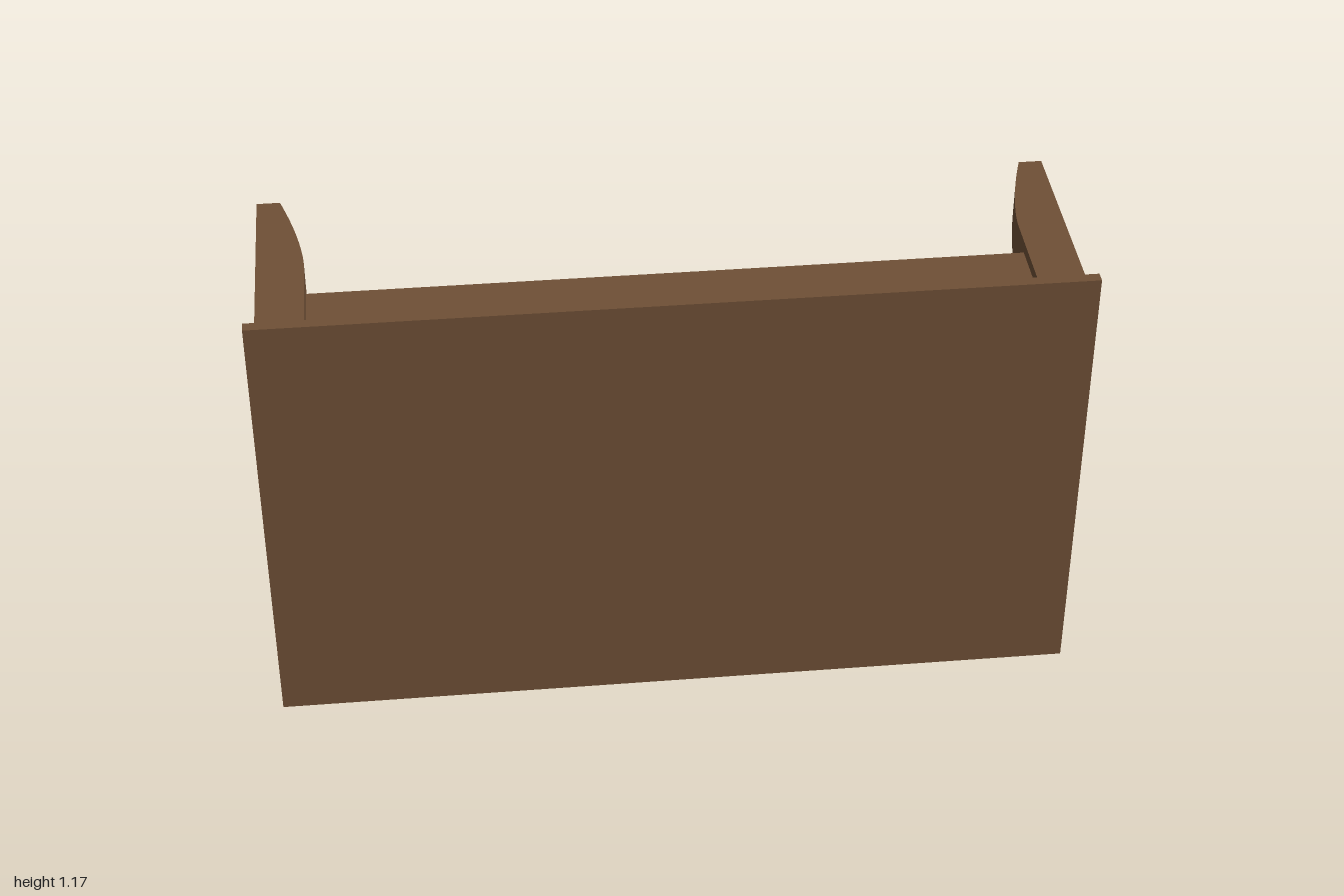
import * as THREE from 'three';

// A low table tipped on its side: the top faces +z, the legs point to -z.
const WIDTH = 2, HEIGHT = 1.17, MID = HEIGHT / 2;
const FRONT = 0.283, UNDERSIDE = 0.255, FEET = -0.283;
const APRON_BACK = 0.087;

// Leg thickness along z: straight near the top, curving in towards the foot.
const LEG = 0.115, FOOT = 0.057, TAPER_START = 0.0;
function legSize(z) {
  const t = Math.max(0, (TAPER_START - z) / (TAPER_START - FEET));
  return LEG - (LEG - FOOT) * Math.pow(t, 1.55);
}

export function createModel() {
  const model = new THREE.Group();
  model.name = 'table';
  const wood = new THREE.MeshStandardMaterial({ color: 0x6f5036 });
  wood.name = 'brown wood';

  const add = (name, geometry) => {
    const mesh = new THREE.Mesh(geometry, wood);
    mesh.name = name;
    model.add(mesh);
    return mesh;
  };
  // Box given by its limits on each axis
  const slab = (name, [x0, x1], [y0, y1], [z0, z1]) =>
    add(name, new THREE.BoxGeometry(x1 - x0, y1 - y0, z1 - z0))
      .position.set((x0 + x1) / 2, (y0 + y1) / 2, (z0 + z1) / 2);

  slab('tableTop', [-WIDTH / 2, WIDTH / 2], [0, HEIGHT], [UNDERSIDE, FRONT]);

  // Long aprons along the lower and upper edges
  const depth = [APRON_BACK, UNDERSIDE];
  slab('lowerLongApron', [-0.857, 0.857], [0.043, 0.075], depth);
  slab('upperLongApron', [-0.857, 0.857], [HEIGHT - 0.075, HEIGHT - 0.043], depth);

  // Short aprons at the two ends
  slab('leftEndApron', [0.925, 0.957], [0.142, HEIGHT - 0.14], depth);
  slab('rightEndApron', [-0.957, -0.925], [0.142, HEIGHT - 0.14], depth);

  // Legs: outer faces stay flat, the two inner faces curve in
  for (const sx of [-1, 1]) {
    for (const sy of [-1, 1]) {
      const length = UNDERSIDE - FEET;
      const geometry = new THREE.BoxGeometry(LEG, LEG, length, 1, 1, 24);
      const p = geometry.attributes.position;
      for (let i = 0; i < p.count; i++) {
        const z = p.getZ(i) + (UNDERSIDE + FEET) / 2;
        const size = legSize(z);
        const inX = p.getX(i) * sx < 0 ? size : 0;
        const inY = p.getY(i) * sy < 0 ? size : 0;
        p.setXYZ(i, sx * (0.975 - inX), MID + sy * (MID - 0.023 - inY), z);
      }
      geometry.computeVertexNormals();
      add((sy > 0 ? 'upper' : 'lower') + (sx > 0 ? 'Left' : 'Right') + 'Leg', geometry);
    }
  }
  return model;
}
